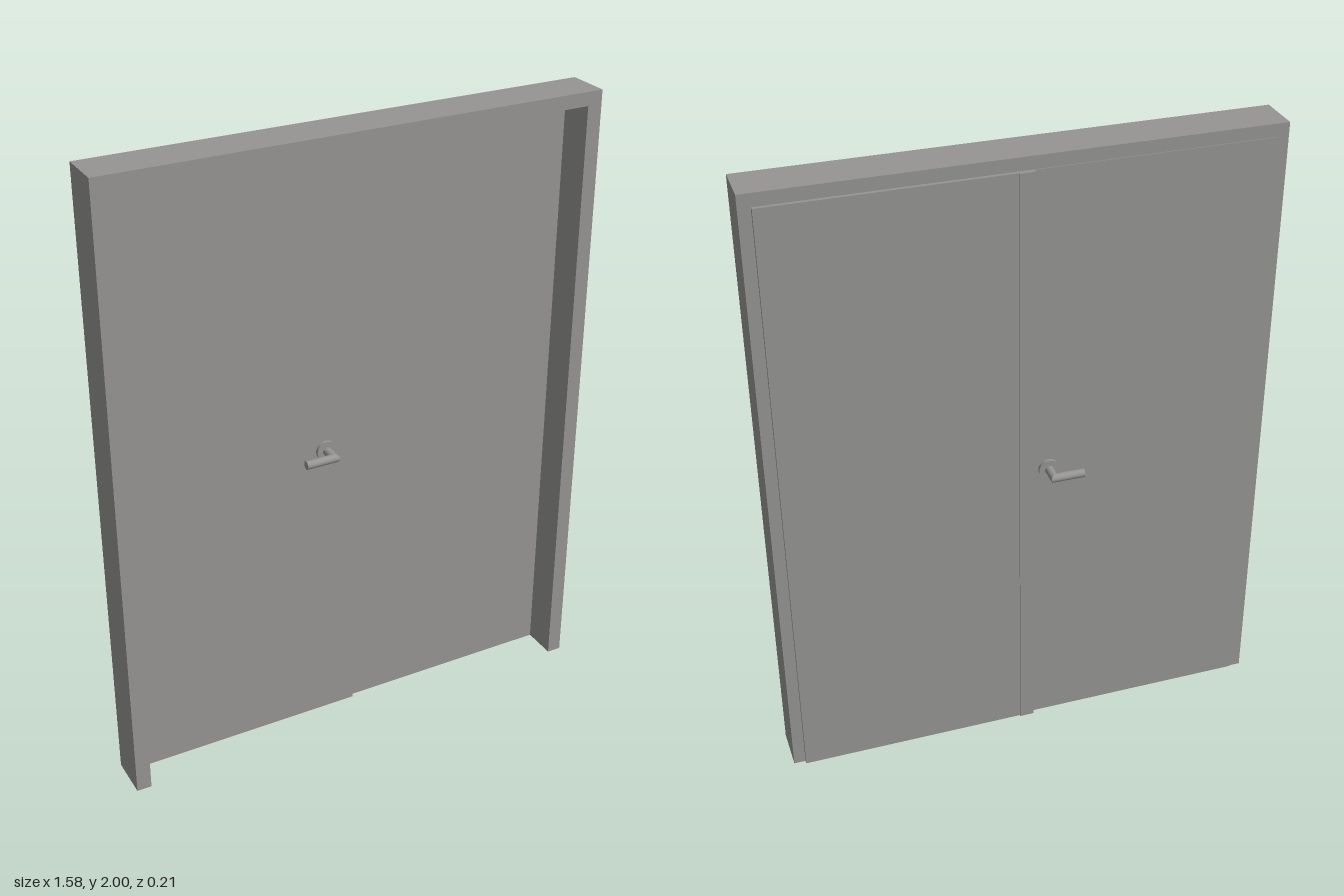
import * as THREE from 'three';

export function createModel() {
  const group = new THREE.Group();
  group.name = 'doubleDoor';
  const grey = new THREE.MeshStandardMaterial({ color: 0x969593 });
  grey.name = 'warm grey';

  const add = (name, geometry, parent = group) => {
    const mesh = new THREE.Mesh(geometry, grey);
    mesh.name = name;
    parent.add(mesh);
    return mesh;
  };

  // Box given by its limits, standing on the floor
  const slab = (name, x0, x1, top, z0, z1) =>
    add(name, new THREE.BoxGeometry(x1 - x0, top, z1 - z0)
      .translate((x0 + x1) / 2, top / 2, (z0 + z1) / 2));

  // Frame: two jambs and a head as one U-shaped extrusion
  const W = 0.79, OPEN = 0.743, HEAD = 1.957, BACK = -0.033;
  const outline = new THREE.Shape([
    [-W, 0], [-OPEN, 0], [-OPEN, HEAD], [OPEN, HEAD], [OPEN, 0], [W, 0], [W, 2], [-W, 2],
  ].map(([x, y]) => new THREE.Vector2(x, y)));
  add('frame', new THREE.ExtrudeGeometry(outline, { depth: 0.14, bevelEnabled: false })
    .translate(0, 0, BACK));

  // Leaves: a body inside the opening and a thin lip lapping over the frame at the back
  const SEAM = 0.022, LIP = 0.753, LIP_TOP = 1.96;
  const LEAF_FRONT = 0.006, LEAF_BACK = -0.036;
  slab('rightLeaf', -OPEN, SEAM, HEAD, BACK, LEAF_FRONT);
  slab('rightLeafLip', -LIP, SEAM, LIP_TOP, LEAF_BACK, BACK);
  slab('leftLeaf', SEAM, OPEN, HEAD, BACK, -0.006);
  slab('leftLeafLip', SEAM, LIP, LIP_TOP, -0.045, BACK);

  // Cover strip over the meeting edge
  slab('meetingStrip', -0.024, SEAM, LIP_TOP, -0.05, BACK);

  // Lever handle: rosette, neck and grip with a mitred corner, pointing out along +z
  const R = 0.0135, REACH = 0.058, GRIP = 0.095;
  const makeHandle = (name) => {
    const handle = new THREE.Group();
    handle.name = name;
    add('rosette', new THREE.CylinderGeometry(0.032, 0.032, 0.01, 40)
      .rotateX(Math.PI / 2).translate(0, 0, 0.005), handle);

    const neck = new THREE.CylinderGeometry(R, R, REACH, 28)
      .rotateX(Math.PI / 2).translate(0, 0, REACH / 2);
    const n = neck.attributes.position;
    for (let i = 0; i < n.count; i++) {
      if (n.getZ(i) > REACH / 2) n.setZ(i, REACH + n.getX(i));
    }
    add('neck', neck, handle);

    const grip = new THREE.CylinderGeometry(R, R, GRIP, 28)
      .rotateZ(Math.PI / 2).translate(-GRIP / 2, 0, REACH);
    const g = grip.attributes.position;
    for (let i = 0; i < g.count; i++) {
      if (g.getX(i) > -GRIP / 2) g.setX(i, g.getZ(i) - REACH);
    }
    add('grip', grip, handle);
    group.add(handle);
    return handle;
  };

  makeHandle('frontHandle').position.set(-0.073, 0.975, LEAF_FRONT);
  const backHandle = makeHandle('backHandle');
  backHandle.position.set(-0.073, 0.975, LEAF_BACK);
  backHandle.rotation.x = Math.PI;

  return group;
}
